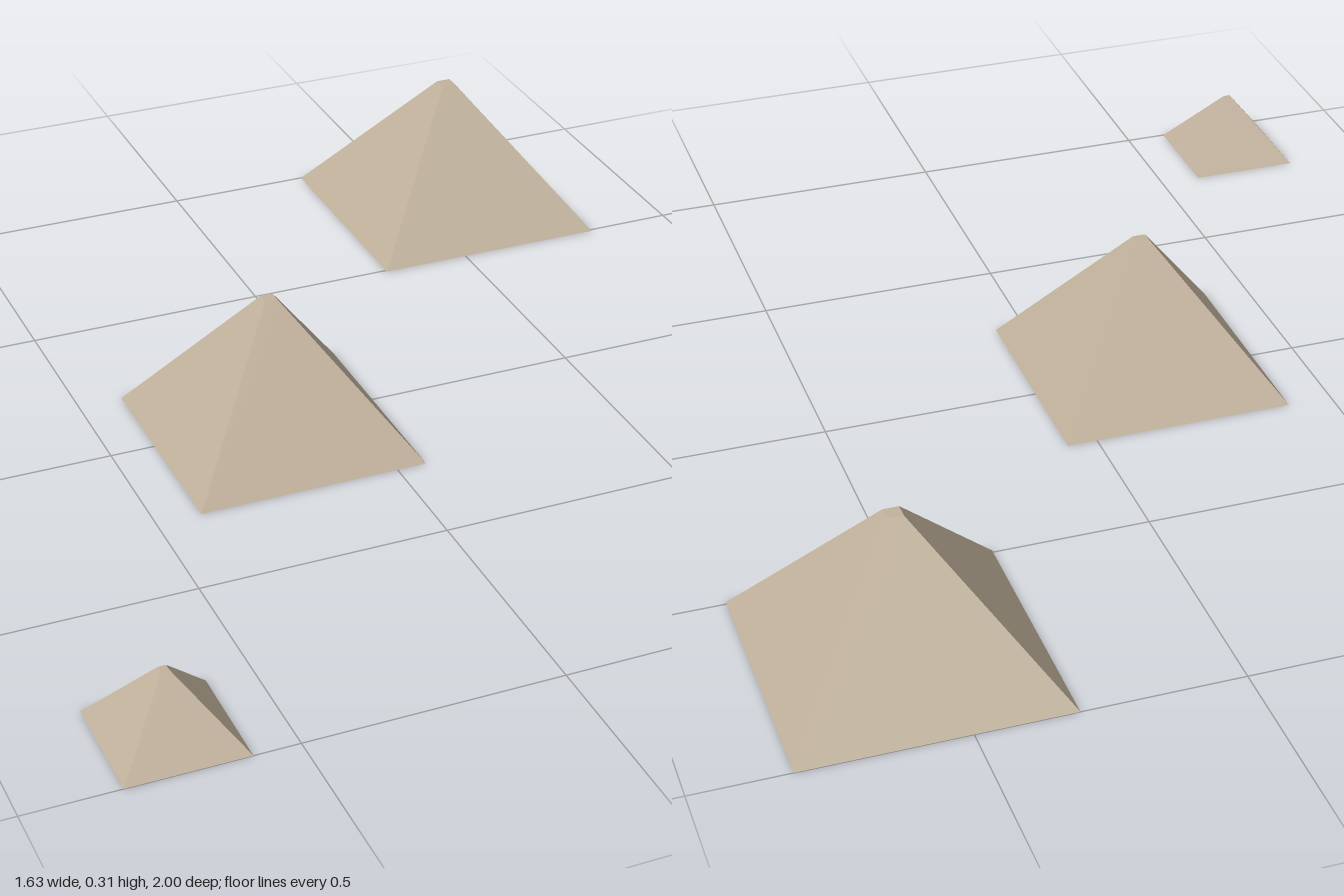
import * as THREE from 'three';

// Square frustum standing on y = 0
function pyramid(name, material, { x, z, base, tip, height }) {
  const r = Math.SQRT1_2; // side length to corner radius
  const geometry = new THREE.CylinderGeometry(tip * r, base * r, height, 4, 1).toNonIndexed();
  geometry.rotateY(Math.PI / 4);
  geometry.translate(0, height / 2, 0);
  geometry.computeVertexNormals(); // flat faces
  const mesh = new THREE.Mesh(geometry, material);
  mesh.name = name;
  mesh.position.set(x, 0, z);
  return mesh;
}

export function createModel() {
  const sandstone = new THREE.MeshStandardMaterial({ color: 0xc2b39d });
  sandstone.name = 'sandstone';
  sandstone.flatShading = true;

  const group = new THREE.Group();
  group.name = 'pyramids';
  group.add(
    pyramid('largePyramid', sandstone, { x: 0.562, z: -0.747, base: 0.506, tip: 0.03, height: 0.306 }),
    pyramid('middlePyramid', sandstone, { x: -0.174, z: 0.032, base: 0.47, tip: 0.026, height: 0.302 }),
    pyramid('smallPyramid', sandstone, { x: -0.702, z: 0.885, base: 0.23, tip: 0.015, height: 0.136 })
  );
  return group;
}
